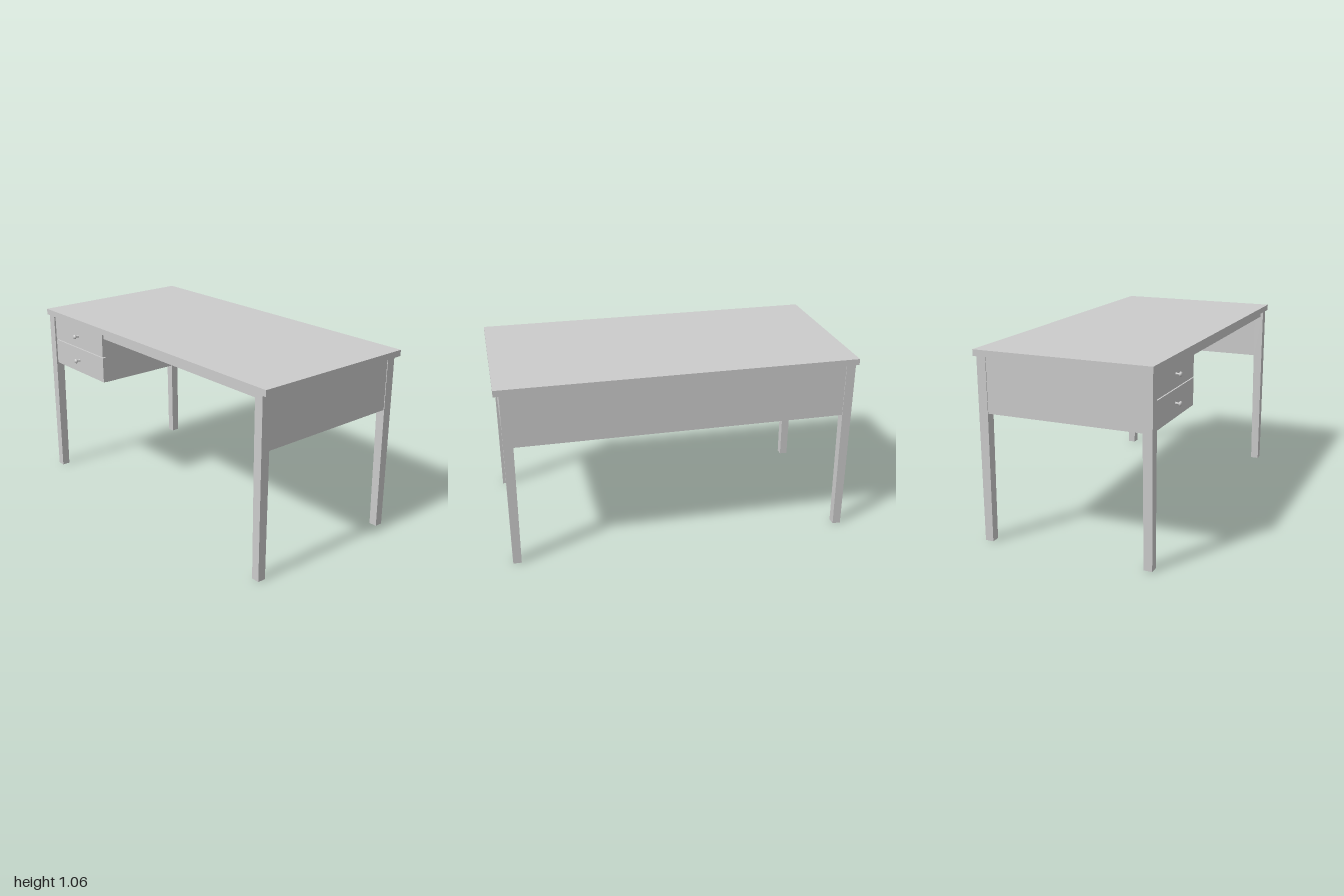
import * as THREE from 'three';

const grey = new THREE.MeshStandardMaterial({ color: 0xcccccc });

// Box given by its minimum and maximum along each axis
function slab(name, [x0, x1], [y0, y1], [z0, z1]) {
  const mesh = new THREE.Mesh(new THREE.BoxGeometry(x1 - x0, y1 - y0, z1 - z0), grey);
  mesh.position.set((x0 + x1) / 2, (y0 + y1) / 2, (z0 + z1) / 2);
  mesh.name = name;
  return mesh;
}

const TOP = 1.025, APRON = 0.72;
const LEG = 0.053, FOOT = 0.047;

// Square leg, straight down to the apron, then tapering on its two inner sides
function leg(name, outerX, outerZ) {
  const sx = Math.sign(outerX), sz = Math.sign(outerZ);
  const geo = new THREE.BoxGeometry(1, 1, 1, 1, 2, 1);
  const p = geo.attributes.position;
  for (let i = 0; i < p.count; i++) {
    const h = p.getY(i);
    const width = h < -0.25 ? FOOT : LEG;
    const y = h < -0.25 ? 0 : h > 0.25 ? TOP : APRON;
    const inX = p.getX(i) * sx < 0, inZ = p.getZ(i) * sz < 0;
    p.setXYZ(i, outerX - (inX ? sx * width : 0), y, outerZ - (inZ ? sz * width : 0));
  }
  const flat = geo.toNonIndexed();
  flat.computeVertexNormals();
  const mesh = new THREE.Mesh(flat, grey);
  mesh.name = name;
  return mesh;
}

// Turned knob with a narrow neck and a domed head
function knob(x, y, z) {
  const profile = [
    [0.008, 0], [0.006, 0.006], [0.005, 0.014], [0.008, 0.019],
    [0.0135, 0.023], [0.014, 0.027], [0.011, 0.032], [0.006, 0.0345], [0, 0.035],
  ].map(([r, h]) => new THREE.Vector2(r, h));
  const mesh = new THREE.Mesh(new THREE.LatheGeometry(profile, 20), grey);
  mesh.rotation.x = Math.PI / 2;
  mesh.position.set(x, y, z);
  mesh.name = 'knob';
  return mesh;
}

// Open drawer box with a front panel and a knob
function drawer(name, y0, y1) {
  const g = new THREE.Group();
  g.name = name;
  const x0 = -0.895, x1 = -0.44, zBack = -0.35, zFront = 0.455;
  const wall = [y0 + 0.012, y1 - 0.03];
  g.add(
    slab('drawerFront', [-0.926, -0.405], [y0, y1], [zFront, 0.476]),
    slab('drawerSide', [x0, x0 + 0.012], wall, [zBack, zFront]),
    slab('drawerSide', [x1 - 0.012, x1], wall, [zBack, zFront]),
    slab('drawerBack', [x0 + 0.012, x1 - 0.012], wall, [zBack, zBack + 0.012]),
    slab('drawerBottom', [x0 + 0.012, x1 - 0.012], [y0 + 0.018, y0 + 0.026], [zBack + 0.012, zFront]),
    knob(-0.666, (y0 + y1) / 2, 0.476),
  );
  return g;
}

export function createModel() {
  const desk = new THREE.Group();
  desk.name = 'desk';

  desk.add(slab('desktop', [-1, 1], [TOP, 1.06], [-0.51, 0.49]));

  // Legs
  const left = 0.97, right = -0.985, front = 0.482, back = -0.498;
  desk.add(
    leg('frontLeftLeg', left, front), leg('frontRightLeg', right, front),
    leg('backLeftLeg', left, back), leg('backRightLeg', right, back),
  );

  // Apron panels between the legs
  const height = [APRON, TOP];
  const depth = [back + LEG, front - LEG];
  desk.add(
    slab('leftPanel', [left - 0.025, left - 0.004], height, depth),
    slab('rightPanel', [right + 0.004, right + 0.025], height, depth),
    slab('backPanel', [right + LEG, left - LEG], height, [back + 0.004, back + 0.025]),
    slab('pedestalPanel', [-0.424, -0.406], height, [back + 0.025, 0.455]),
  );

  // Rails under the knee space
  desk.add(
    slab('frontRail', [-0.406, left - LEG], [0.99, TOP], [0.445, 0.465]),
    slab('middleRail', [-0.406, left - 0.025], [0.935, TOP], [0.19, 0.21]),
  );

  // Drawers and the cross bars that carry them
  desk.add(drawer('lowerDrawer', 0.722, 0.873), drawer('upperDrawer', 0.879, TOP - 0.001));
  for (const y of [0.717, 0.868])
    for (const z of [0.245, -0.29])
      desk.add(slab('crossBar', [right + 0.025, -0.424], [y, y + 0.014], [z - 0.025, z + 0.025]));

  return desk;
}
